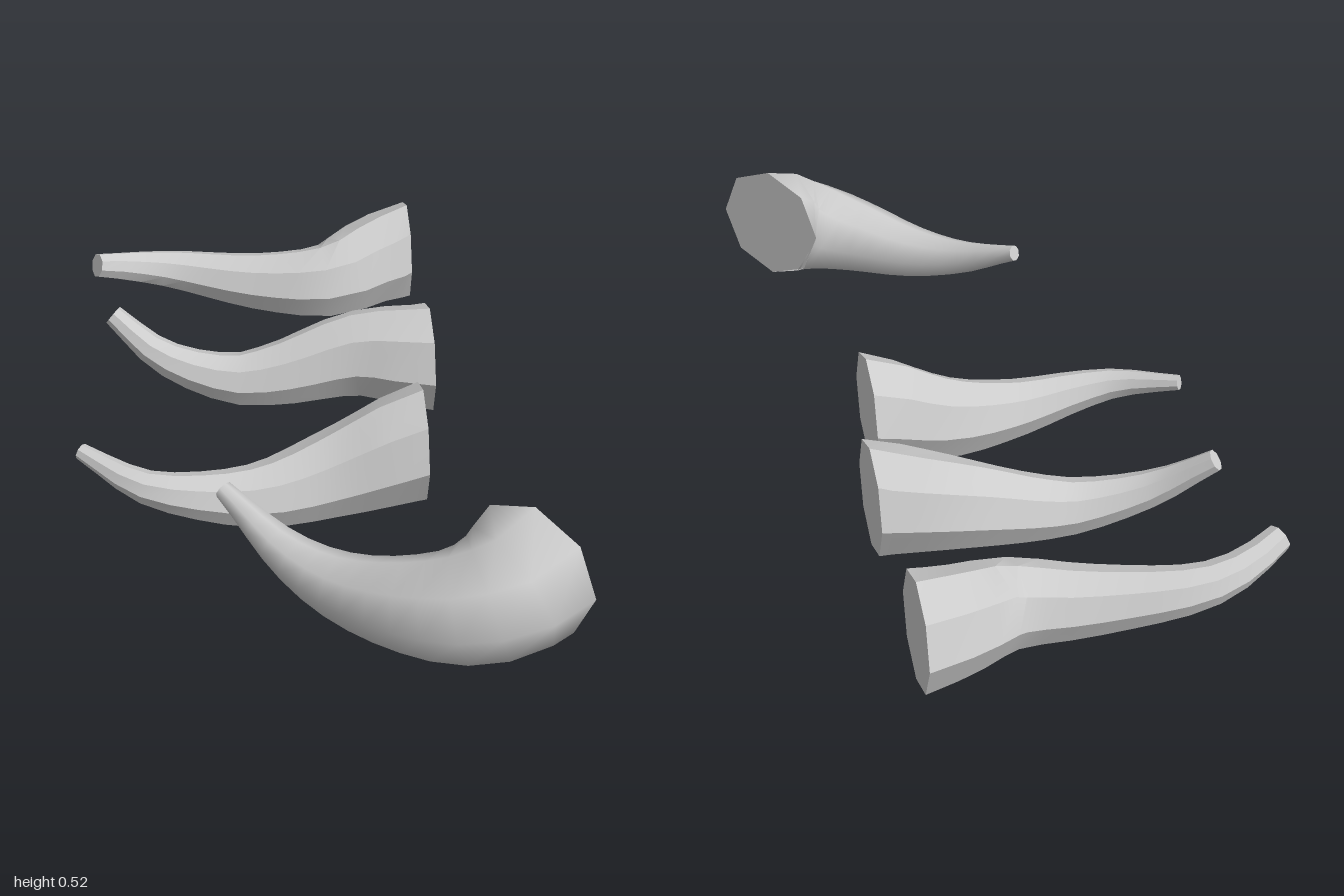
import * as THREE from 'three';
import { toCreasedNormals } from 'three/addons/utils/BufferGeometryUtils.js';

const SIDES = 8;
const STEPS = 14;
const TAPER = 1.15;
const WORLD_UP = new THREE.Vector3(0, 1, 0);
const v = (x, y, z) => new THREE.Vector3(x, y, z);

// Sweeps a tapering octagon along a curve and closes both ends.
// startDir is the direction in which the horn leaves its flat base.
function hornGeometry(points, startDir, baseRadius, tipRadius, crease) {
  const curve = new THREE.CatmullRomCurve3(points);
  const positions = [], index = [];

  for (let i = 0; i <= STEPS; i++) {
    const t = i / STEPS;
    const centre = curve.getPointAt(t);
    const tangent = i === 0 ? startDir.clone().normalize() : curve.getTangentAt(t);
    const radius = tipRadius + (baseRadius - tipRadius) * Math.pow(1 - t, TAPER);
    const side = v(0, 0, 0).crossVectors(tangent, WORLD_UP).normalize();
    const up = v(0, 0, 0).crossVectors(side, tangent);
    for (let j = 0; j < SIDES; j++) {
      const a = (j / SIDES) * Math.PI * 2;
      const p = centre.clone()
        .addScaledVector(up, radius * Math.cos(a))
        .addScaledVector(side, radius * Math.sin(a));
      positions.push(p.x, p.y, p.z);
    }
  }

  // Side walls
  for (let i = 0; i < STEPS; i++) {
    for (let j = 0; j < SIDES; j++) {
      const a = i * SIDES + j;
      const b = i * SIDES + (j + 1) % SIDES;
      index.push(a, b, a + SIDES, b, b + SIDES, a + SIDES);
    }
  }
  // Flat base and tip
  const tip = STEPS * SIDES;
  for (let j = 1; j < SIDES - 1; j++) {
    index.push(0, j + 1, j, tip, tip + j, tip + j + 1);
  }

  const geometry = new THREE.BufferGeometry();
  geometry.setAttribute('position', new THREE.Float32BufferAttribute(positions, 3));
  geometry.setIndex(index);
  return toCreasedNormals(geometry, crease);
}

export function createModel() {
  const group = new THREE.Group();
  group.name = 'horns';
  const material = new THREE.MeshStandardMaterial({ color: 0xcccccc });

  const addHorn = (name, points, startDir, baseRadius, tipRadius, crease) => {
    const mesh = new THREE.Mesh(hornGeometry(points, startDir, baseRadius, tipRadius, crease), material);
    mesh.name = name;
    group.add(mesh);
  };

  // Three faceted horns in a row, bases turned to the back left
  const diagonal = v(-1, 0, 1);
  addHorn('backHorn', [
    v(-0.40, 0.225, -0.67), v(-0.45, 0.21, -0.565), v(-0.50, 0.187, -0.44),
    v(-0.65, 0.18, -0.32), v(-0.86, 0.21, -0.17), v(-0.925, 0.235, -0.08), v(-0.965, 0.27, 0.025),
  ], diagonal, 0.142, 0.034, 0.68);

  addHorn('upperMiddleHorn', [
    v(-0.015, 0.195, -0.28), v(-0.18, 0.187, -0.185), v(-0.33, 0.137, -0.035),
    v(-0.42, 0.125, 0.05), v(-0.58, 0.18, 0.155), v(-0.715, 0.285, 0.205),
  ], diagonal, 0.148, 0.028, 0.68);

  addHorn('lowerMiddleHorn', [
    v(0.215, 0.195, 0.045), v(0.07, 0.122, 0.21), v(-0.04, 0.095, 0.375),
    v(-0.17, 0.12, 0.52), v(-0.25, 0.14, 0.575), v(-0.425, 0.185, 0.61),
  ], diagonal, 0.15, 0.021, 0.68);

  // Smoother horn at the front, base turned straight back
  addHorn('frontHorn', [
    v(0.84, 0.365, 0.475), v(0.825, 0.342, 0.54), v(0.765, 0.315, 0.61),
    v(0.66, 0.292, 0.658), v(0.50, 0.275, 0.69), v(0.35, 0.295, 0.70), v(0.145, 0.375, 0.69),
  ], v(0, 0, 1), 0.163, 0.022, 1.0);

  return group;
}
